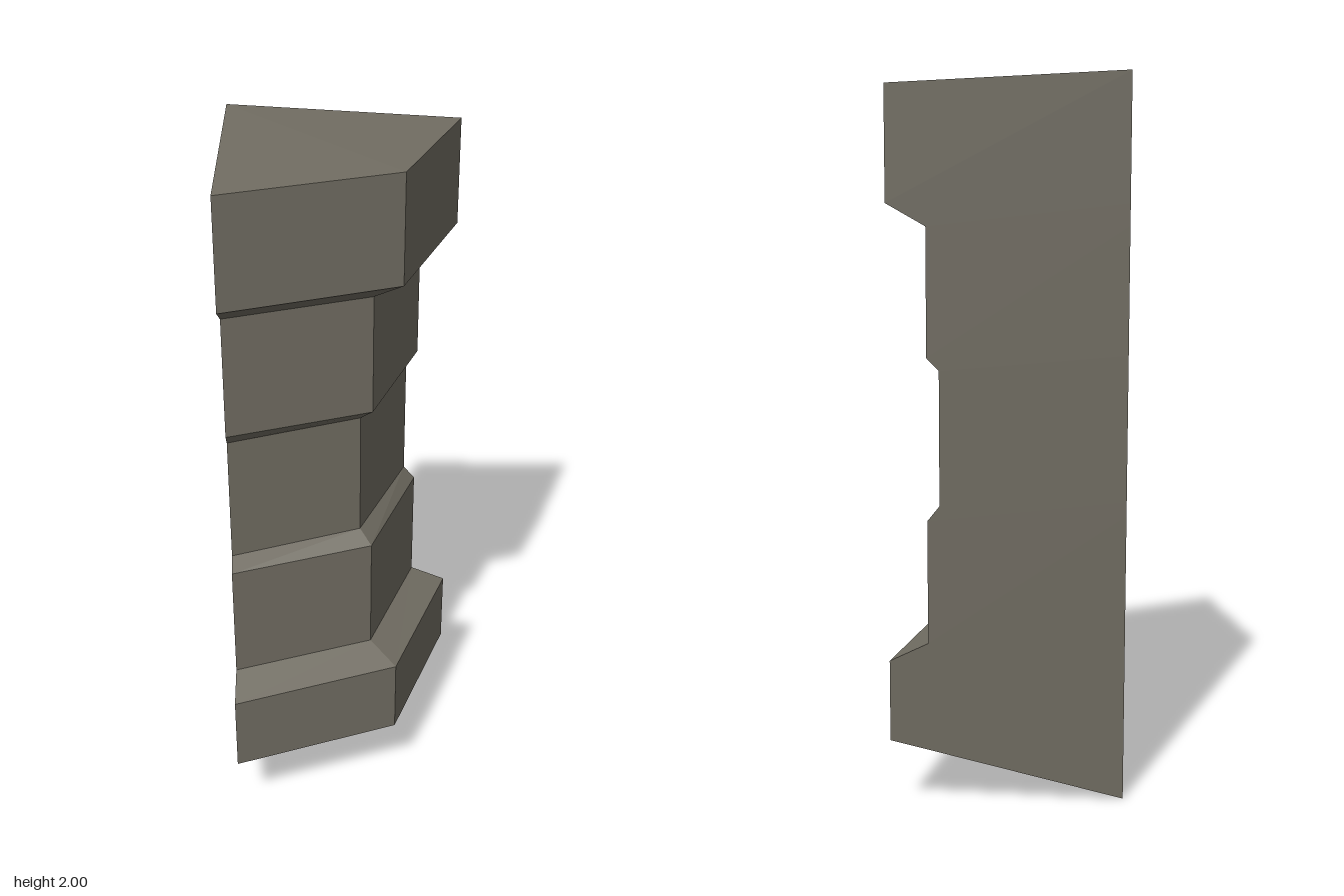
import * as THREE from 'three';

// Corner pillar: a four-sided section with its square corner at the back left,
// mirrored about the diagonal and swept up through a stepped profile.
const BACK = -0.325;

// [height, reach of the side corners, reach of the front corner]
const LEVELS = [
  [0.2, 0.325, 0.15], [0.425, 0.325, 0.15],  // plinth
  [0.47, 0.22, 0.075], [0.81, 0.22, 0.075],  // lower shaft
  [0.85, 0.187, 0.042], [1.215, 0.187, 0.042], // waist
  [1.25, 0.22, 0.075], [1.595, 0.22, 0.075], // upper shaft
  [1.655, 0.325, 0.15], [1.96, 0.325, 0.15], // capital
];

function pillarGeometry() {
  const last = LEVELS.length - 1;
  const rings = LEVELS.map(([y, side, front], i) => {
    // the back corner runs down to the ground and up to the peak
    const cornerY = i === 0 ? 0 : i === last ? 2 : y;
    return [[BACK, cornerY, BACK], [BACK, y, side], [front, y, front], [side, y, BACK]];
  });

  const positions = [];
  const tri = (a, b, c) => positions.push(...a, ...b, ...c);

  // walls
  for (let r = 0; r < last; r++) {
    for (let i = 0; i < 4; i++) {
      const j = (i + 1) % 4, lo = rings[r], hi = rings[r + 1];
      tri(lo[i], lo[j], hi[j]);
      tri(lo[i], hi[j], hi[i]);
    }
  }

  // sloping top and underside
  const [c, b, m, a] = rings[last];
  tri(c, b, m);
  tri(c, m, a);
  const [c0, b0, m0, a0] = rings[0];
  tri(c0, m0, b0);
  tri(c0, a0, m0);

  const geometry = new THREE.BufferGeometry();
  geometry.setAttribute('position', new THREE.Float32BufferAttribute(positions, 3));
  geometry.computeVertexNormals();
  return geometry;
}

export function createModel() {
  const stone = new THREE.MeshStandardMaterial({ color: 0x716d62, flatShading: true });
  stone.name = 'stone';

  const pillar = new THREE.Mesh(pillarGeometry(), stone);
  pillar.name = 'cornerPillar';

  const group = new THREE.Group();
  group.name = 'pillar';
  group.add(pillar);
  return group;
}
